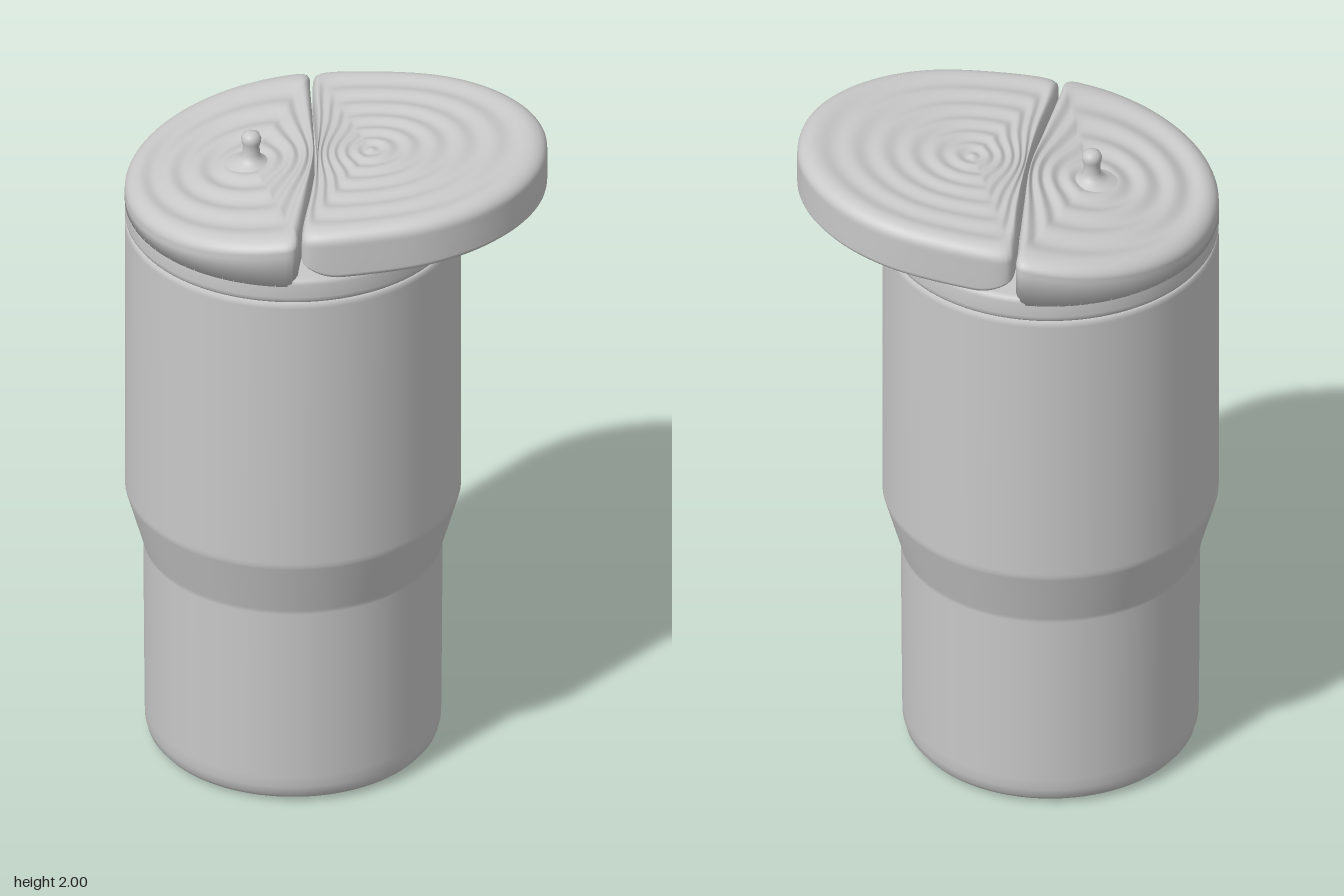
import * as THREE from 'three';

const CX = -0.125; // axis of the cup
const R = 0.483; // radius of the cup's upper part

// Closed smooth outline from half of its points (x, z), mirrored in z
function outlineOf(half) {
  const back = half.slice(1, -1).reverse().map(([x, z]) => [x, -z]);
  const points = [...half, ...back].map(([x, z]) => new THREE.Vector3(x, 0, z));
  return new THREE.CatmullRomCurve3(points, true, 'centripetal').getSpacedPoints(160).slice(0, 160);
}

// Like a lathe, but around any outline: profile rows are [scale, height].
// Inner rings turn gradually into circles; shapeY tilts or bends the height.
function loft(outline, cx, ringRadius, profile, shapeY) {
  const n = outline.length;
  const position = [];
  const index = [];
  for (const [s, h] of profile) {
    for (const p of outline) {
      const a = Math.atan2(p.z, p.x - cx);
      const t = 1 - s;
      const x = cx + s * (t * ringRadius * Math.cos(a) + s * (p.x - cx));
      const z = s * (t * ringRadius * Math.sin(a) + s * p.z);
      position.push(x, shapeY(x, h), z);
    }
  }
  for (let i = 0; i < profile.length - 1; i++) {
    for (let j = 0; j < n; j++) {
      const k = (j + 1) % n;
      const a = i * n + j, b = i * n + k;
      index.push(a, a + n, b, b, a + n, b + n);
    }
  }
  const geometry = new THREE.BufferGeometry();
  geometry.setAttribute('position', new THREE.Float32BufferAttribute(position, 3));
  geometry.setIndex(index);
  geometry.computeVertexNormals();
  return geometry;
}

// Rippled disc from the centre outwards
function ripples(edge, height, waves, depth) {
  const rows = [];
  const steps = 60;
  for (let i = 0; i <= steps; i++) {
    const s = Math.max(0.001, (edge * i) / steps);
    rows.push([s, height + depth * (Math.cos((i / steps) * waves * Math.PI * 2) - 1)]);
  }
  return rows;
}

// Quarter-round edge from the wall (scale 1) up to the top
function roundEdge(edge, height, drop) {
  const rows = [];
  for (let i = 0; i < 9; i++) {
    const a = (i / 9) * Math.PI / 2;
    rows.push([edge + (1 - edge) * Math.cos(a), height - drop + drop * Math.sin(a)]);
  }
  return rows;
}

function lathe(points) {
  return new THREE.LatheGeometry(points.map(([r, y]) => new THREE.Vector2(r, y)), 96);
}

export function createModel() {
  const group = new THREE.Group();
  const grey = new THREE.MeshStandardMaterial({ color: 0xc8c8c8 });
  grey.name = 'light grey';
  const add = (name, geometry, x = 0) => {
    const mesh = new THREE.Mesh(geometry, grey);
    mesh.name = name;
    mesh.position.x = x;
    group.add(mesh);
  };

  // Cup with a recessed base, narrow foot, taper and wide upper part
  add('cup', lathe([
    [0, 0.012], [0.325, 0.012], [0.335, 0.01], [0.345, 0.001], [0.36, 0], [0.385, 0.003],
    [0.405, 0.012], [0.418, 0.028], [0.425, 0.055], [0.426, 0.09], [0.43, 0.64],
    [0.431, 0.648], [0.433, 0.656], [0.48, 0.82], [0.4825, 0.83], [R, 0.842],
    [R, 1.7], [0.481, 1.712], [0.476, 1.72], [0.44, 1.722],
  ]), CX);

  // Lower ring of the lid
  add('lidCollar', lathe([
    [0.44, 1.718], [0.476, 1.72], [0.481, 1.727], [R, 1.738], [R, 1.78],
    [0.479, 1.793], [0.468, 1.8], [0, 1.8],
  ]), CX);

  // Fixed half of the lid, sloping up to the hinge line
  const lidHalf = [[-0.064, 0], [-0.075, 0.2], [-0.092, 0.42], [-0.095, 0.462], [-0.108, 0.48]];
  for (let i = 0; i <= 12; i++) {
    const a = THREE.MathUtils.degToRad(94 + (i / 12) * 86);
    lidHalf.push([CX + R * Math.cos(a), i === 12 ? 0 : R * Math.sin(a)]);
  }
  const lidOutline = outlineOf(lidHalf.reverse());
  lidOutline.reverse();
  const lidSlope = (x, h) => (h < 0 ? 1.775 : 1.865 + 0.155 * (x + 0.5) + h - 0.1);
  add('fixedLid', loft(lidOutline, -0.245, 0.33, [
    [0.001, -1], [1, -1], [1, 0.05],
    ...roundEdge(0.9, 0.1, 0.035),
    ...ripples(0.9, 0.1, 4, 0.005).reverse(),
  ], lidSlope));

  // Knob on the fixed half
  add('knob', lathe([
    [0.075, 1.893], [0.05, 1.903], [0.033, 1.913], [0.025, 1.93], [0.024, 1.955],
    [0.028, 1.968], [0.029, 1.98], [0.024, 1.992], [0.013, 1.999], [0, 2],
  ]), -0.245);

  // Overhanging flap with ripples above and below
  const flapOutline = outlineOf([
    [0.605, 0], [0.588, 0.12], [0.53, 0.235], [0.42, 0.345], [0.28, 0.418], [0.1, 0.455],
    [-0.05, 0.463], [-0.078, 0.452], [-0.084, 0.4], [-0.067, 0.2], [-0.057, 0],
  ]);
  const flapSlope = (x, h) => {
    const lift = Math.max(0, 0.03 - x) / 0.11;
    return 1.79 + 0.08 * (x - 0.1) + h + 0.05 * lift * lift * Math.max(0, 1 - h / 0.1);
  };
  const underEdge = roundEdge(0.93, 0, -0.025).reverse();
  add('flap', loft(flapOutline, 0.1, 0.3, [
    ...ripples(0.93, 0, 5, -0.004),
    ...underEdge,
    [1, 0.07], [1, 0.115],
    ...roundEdge(0.92, 0.162, 0.04),
    ...ripples(0.92, 0.162, 6, 0.0035).reverse(),
  ], flapSlope));

  return group;
}
